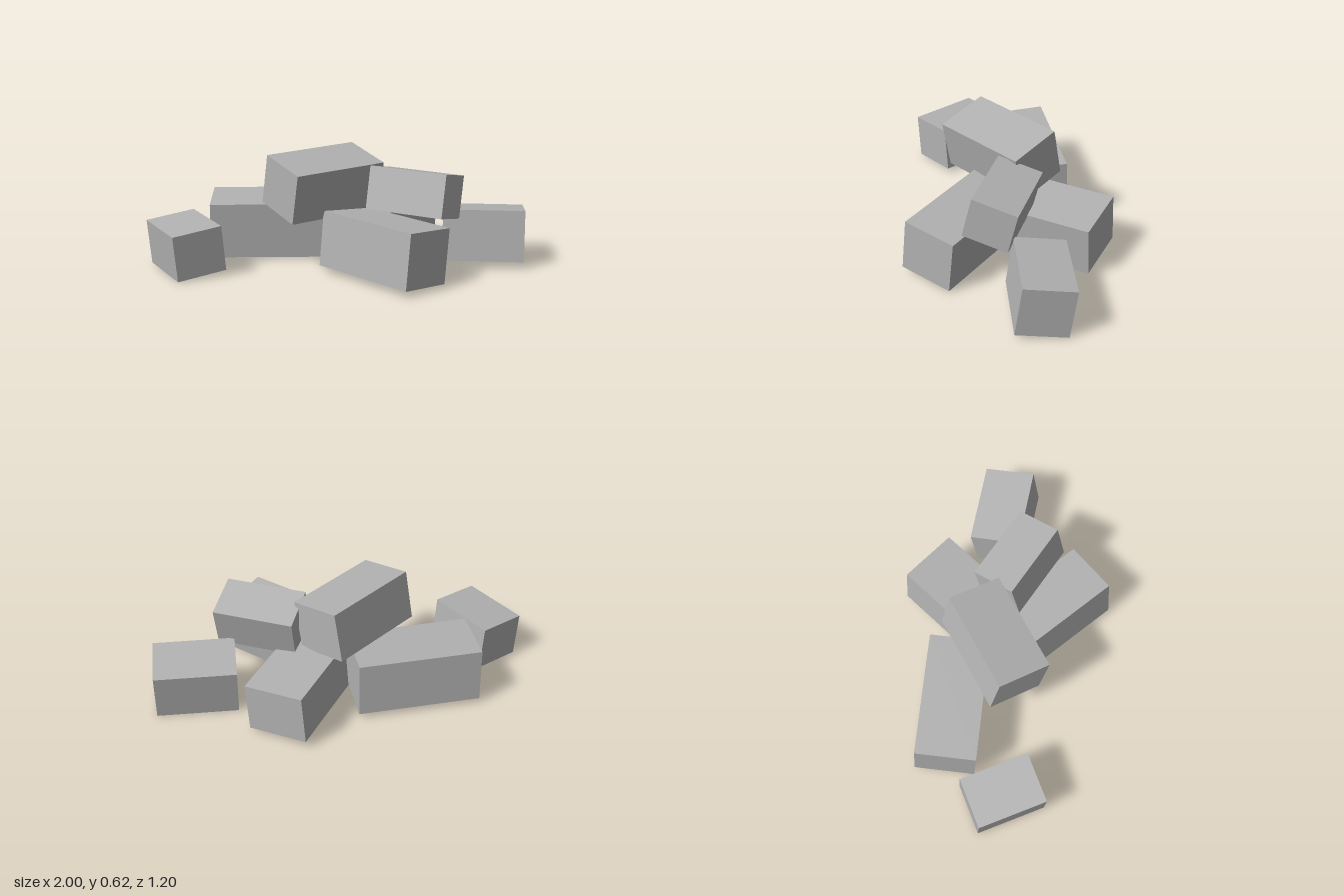
import * as THREE from 'three';

// Each block: a top corner, the two top edges leaving it, and the thickness
const BLOCKS = [
  ['leftEndBlock', [-0.73, 0.257, 0.6], [-0.27, 0, -0.275], [0.195, 0.026, -0.195], 0.248],
  ['backLongBlock', [-0.69, 0.326, 0.176], [0.642, 0.002, -0.193], [-0.093, 0.016, -0.315], 0.307],
  ['rightEndBlock', [0.992, 0.322, -0.187], [-0.433, 0, 0.086], [-0.059, -0.038, -0.268], 0.28],
  ['backBlock', [0.137, 0.325, -0.597], [-0.185, 0, 0.486], [0.31, -0.026, 0.118], 0.277],
  ['frontLongBlock', [0.505, 0.341, 0.463], [-0.545, 0, -0.296], [0.145, -0.033, -0.267], 0.3],
  ['upperRightBlock', [0.612, 0.568, 0.105], [-0.432, 0, -0.09], [0.043, -0.058, -0.24], 0.234],
  ['topBlock', [-0.356, 0.626, 0.17], [0.35, 0, -0.435], [0.234, -0.06, 0.182], 0.277],
];

function makeBlock([name, corner, along, across, thickness], material) {
  const u = new THREE.Vector3(...along);
  const v = new THREE.Vector3(...across);

  // Right-angled axes, with y pointing out of the top face
  const x = u.clone().normalize();
  const y = new THREE.Vector3().crossVectors(v, u).normalize();
  if (y.y < 0) y.negate();
  const z = new THREE.Vector3().crossVectors(x, y);

  const mesh = new THREE.Mesh(new THREE.BoxGeometry(u.length(), thickness, v.length()), material);
  mesh.name = name;
  mesh.quaternion.setFromRotationMatrix(new THREE.Matrix4().makeBasis(x, y, z));
  mesh.position.set(...corner)
    .addScaledVector(u, 0.5)
    .addScaledVector(v, 0.5)
    .addScaledVector(y, -thickness / 2);
  return mesh;
}

export function createModel() {
  const group = new THREE.Group();
  group.name = 'rubblePile';
  const stone = new THREE.MeshStandardMaterial({ color: 0xb2b2b2 });
  stone.name = 'grey stone';
  for (const block of BLOCKS) group.add(makeBlock(block, stone));
  return group;
}
